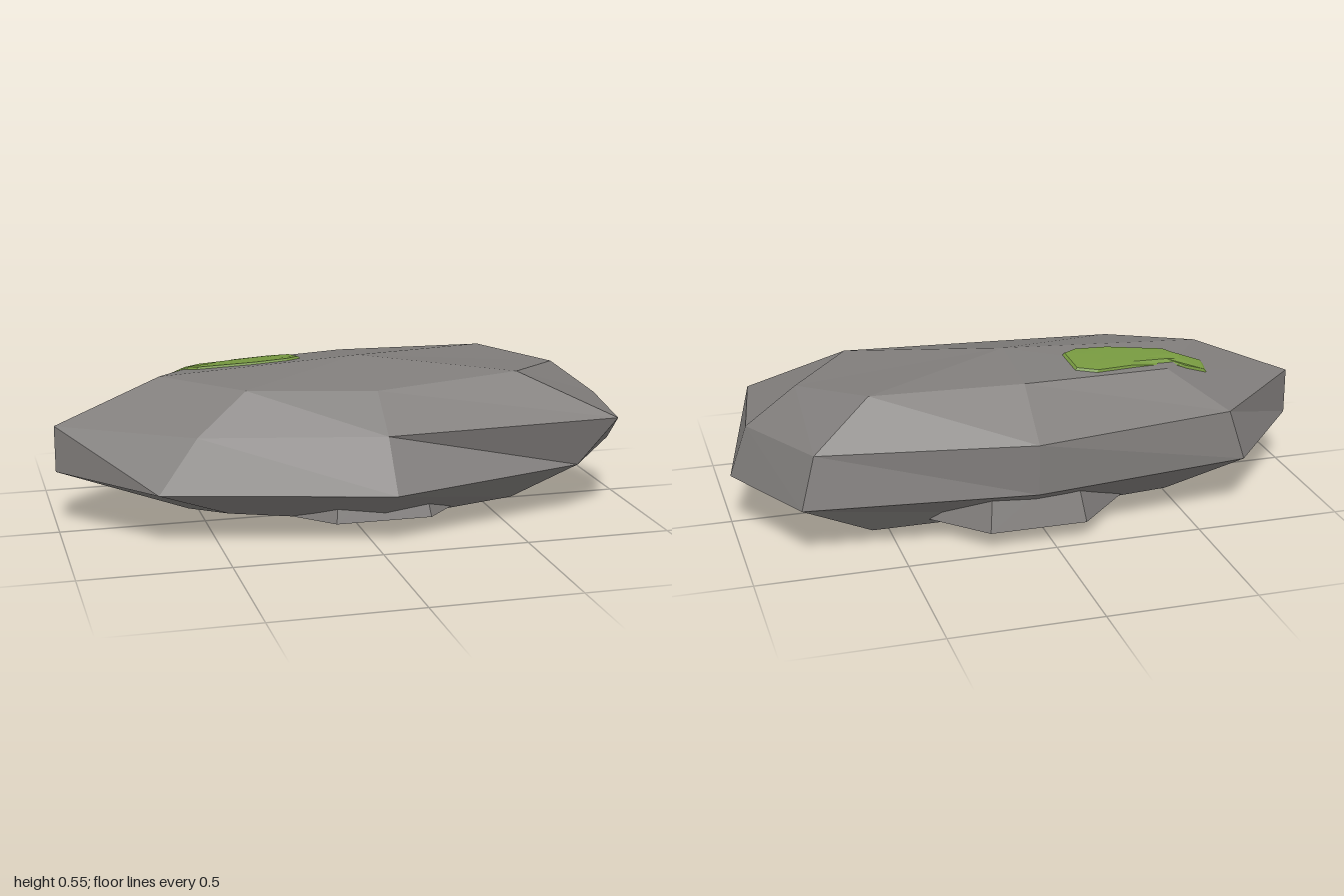
import * as THREE from 'three';

// Skin between closed rings of equal length, flat-faceted.
function loft(rings) {
  const pos = [];
  const tri = (...pts) => pts.forEach((p) => pos.push(...p));
  for (let r = 0; r < rings.length - 1; r++) {
    const a = rings[r], b = rings[r + 1], n = a.length;
    for (let i = 0; i < n; i++) {
      const j = (i + 1) % n;
      tri(a[i], a[j], b[i]);
      tri(a[j], b[j], b[i]);
    }
  }
  const geo = new THREE.BufferGeometry();
  geo.setAttribute('position', new THREE.Float32BufferAttribute(pos, 3));
  geo.computeVertexNormals();
  return geo;
}

export function createModel() {
  const group = new THREE.Group();
  const stone = new THREE.MeshStandardMaterial({ color: 0x7f7c7a });
  stone.name = 'stone grey';
  const moss = new THREE.MeshStandardMaterial({ color: 0x76983f });
  moss.name = 'moss green';
  const add = (geo, mat, name) => {
    const mesh = new THREE.Mesh(geo, mat);
    mesh.name = name;
    group.add(mesh);
    return mesh;
  };

  // Main boulder: eight-sided rings from top to bottom, each starting at +x and turning to +z
  const point = (y) => Array(8).fill([0.055, y, -0.045]);
  const boulder = add(loft([
    point(0.547),
    [[0.77, 0.485, -0.045], [0.56, 0.51, 0.18], [0.055, 0.48, 0.22], [-0.38, 0.49, 0.15],
      [-0.64, 0.51, -0.045], [-0.46, 0.495, -0.26], [0.055, 0.51, -0.305], [0.57, 0.51, -0.275]],
    [[0.94, 0.36, -0.045], [0.88, 0.36, 0.325], [0.055, 0.358, 0.36], [-0.56, 0.36, 0.23],
      [-1, 0.36, -0.045], [-0.65, 0.36, -0.37], [0.055, 0.36, -0.48], [0.77, 0.36, -0.365]],
    [[1, 0.187, -0.045], [0.76, 0.187, 0.27], [0.055, 0.187, 0.48], [-0.7, 0.19, 0.29],
      [-1, 0.2, -0.045], [-0.7, 0.19, -0.39], [0.055, 0.187, -0.48], [0.82, 0.187, -0.395]],
    [[0.74, 0.035, -0.045], [0.55, 0.06, 0.18], [0.055, 0.035, 0.25], [-0.45, 0.075, 0.17],
      [-0.55, 0.035, -0.045], [-0.47, 0.05, -0.25], [0.055, 0.035, -0.275], [0.57, 0.035, -0.275]],
    point(0),
  ]), stone, 'boulder');

  // Tapered base stone that pokes out under the front and back
  const base = new THREE.CylinderGeometry(0.36, 0.43, 0.2, 8).toNonIndexed();
  base.rotateY(Math.PI / 8);
  base.translate(0.05, 0.16, -0.065);
  base.computeVertexNormals();
  add(base, stone, 'baseStone');

  // Moss patch draped over the top: shrunken copies of its outline dropped onto the boulder
  const outline = [[-0.13, -0.12], [-0.18, -0.09], [-0.3, -0.085], [-0.5, -0.12], [-0.53, -0.155],
    [-0.63, -0.165], [-0.63, -0.21], [-0.55, -0.225], [-0.35, -0.24], [-0.21, -0.26], [-0.14, -0.235]];
  const ray = new THREE.Raycaster();
  const down = new THREE.Vector3(0, -1, 0);
  const drape = (t, lift) => outline.map(([x, z]) => {
    const px = -0.34 + (x + 0.34) * t, pz = -0.165 + (z + 0.165) * t;
    ray.set(new THREE.Vector3(px, 2, pz), down);
    return [px, ray.intersectObject(boulder)[0].point.y + lift, pz];
  });
  add(loft([drape(0.001, 0.009), drape(0.3, 0.009), drape(0.65, 0.009), drape(0.95, 0.008), drape(1, -0.003)]),
    moss, 'mossPatch');

  return group;
}
